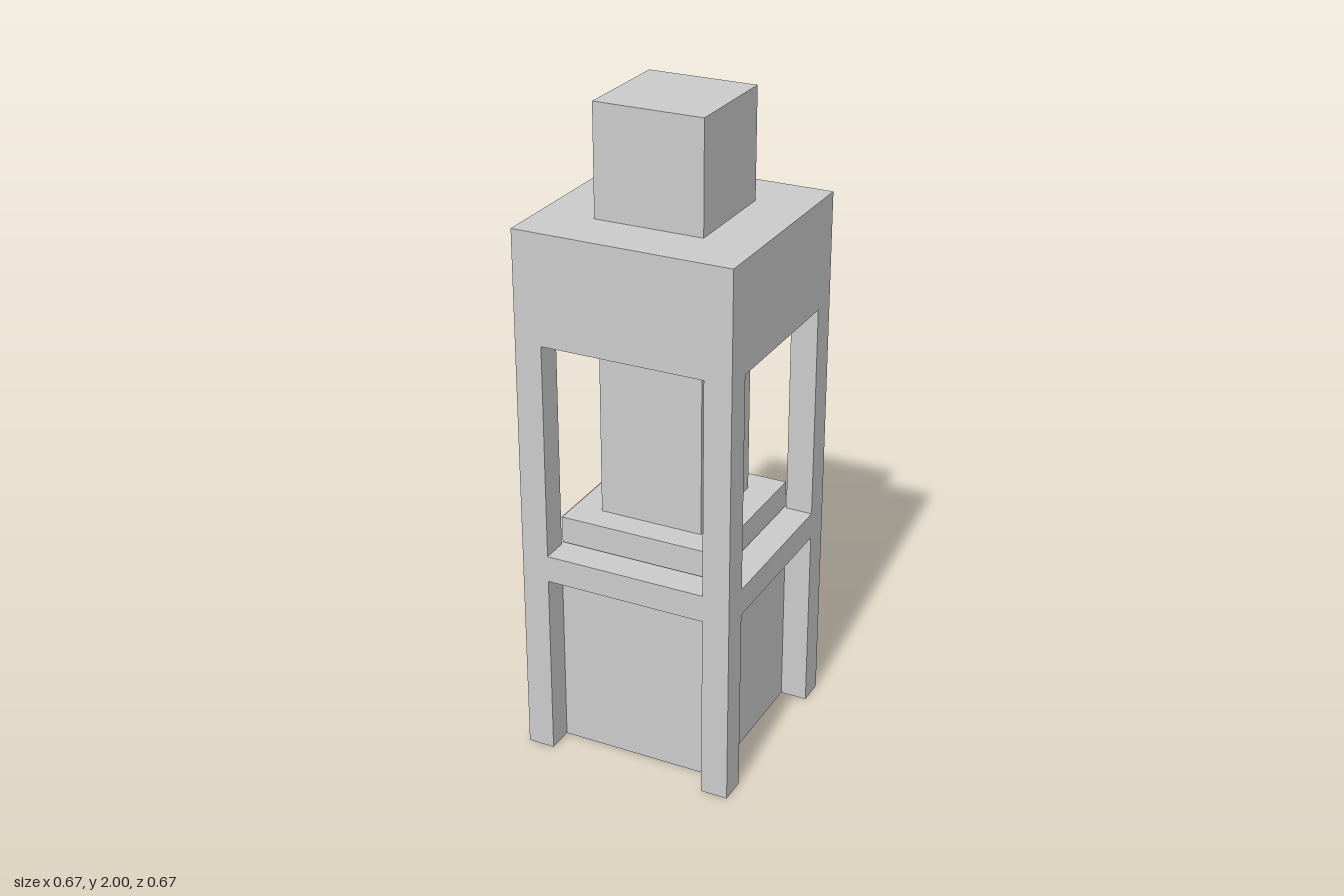
import * as THREE from 'three';

export function createModel() {
  const group = new THREE.Group();
  const material = new THREE.MeshStandardMaterial({ color: 0xcccccc, flatShading: true });

  // Square block from height y0 to y1, centred on (x, z)
  function block(name, width, y0, y1, x = 0, z = 0) {
    const mesh = new THREE.Mesh(new THREE.BoxGeometry(width, y1 - y0, width), material);
    mesh.name = name;
    mesh.position.set(x, (y0 + y1) / 2, z);
    group.add(mesh);
  }

  const outer = 2 / 3, post = 1 / 12;
  const shelfBottom = 7 / 12, shelfTop = 2 / 3, roofBottom = 4 / 3, roofTop = 5 / 3;

  // Lower body, recessed between the legs
  block('base', 0.5, 0, shelfBottom);
  block('shelf', outer, shelfBottom, shelfTop);

  // Legs below the shelf and posts above it
  const offset = (outer - post) / 2;
  for (const sx of [-1, 1]) {
    for (const sz of [-1, 1]) {
      block('leg', post, 0, shelfBottom, sx * offset, sz * offset);
      block('post', post, shelfTop, roofBottom, sx * offset, sz * offset);
    }
  }

  // Plinth floating just above the shelf, carrying the inner column
  block('plinth', 0.495, 0.674, 0.757);
  block('column', 0.323, 0.757, roofBottom);

  // Roof and top cube
  block('roof', outer, roofBottom, roofTop);
  block('topCube', 1 / 3, roofTop, 2);

  return group;
}
